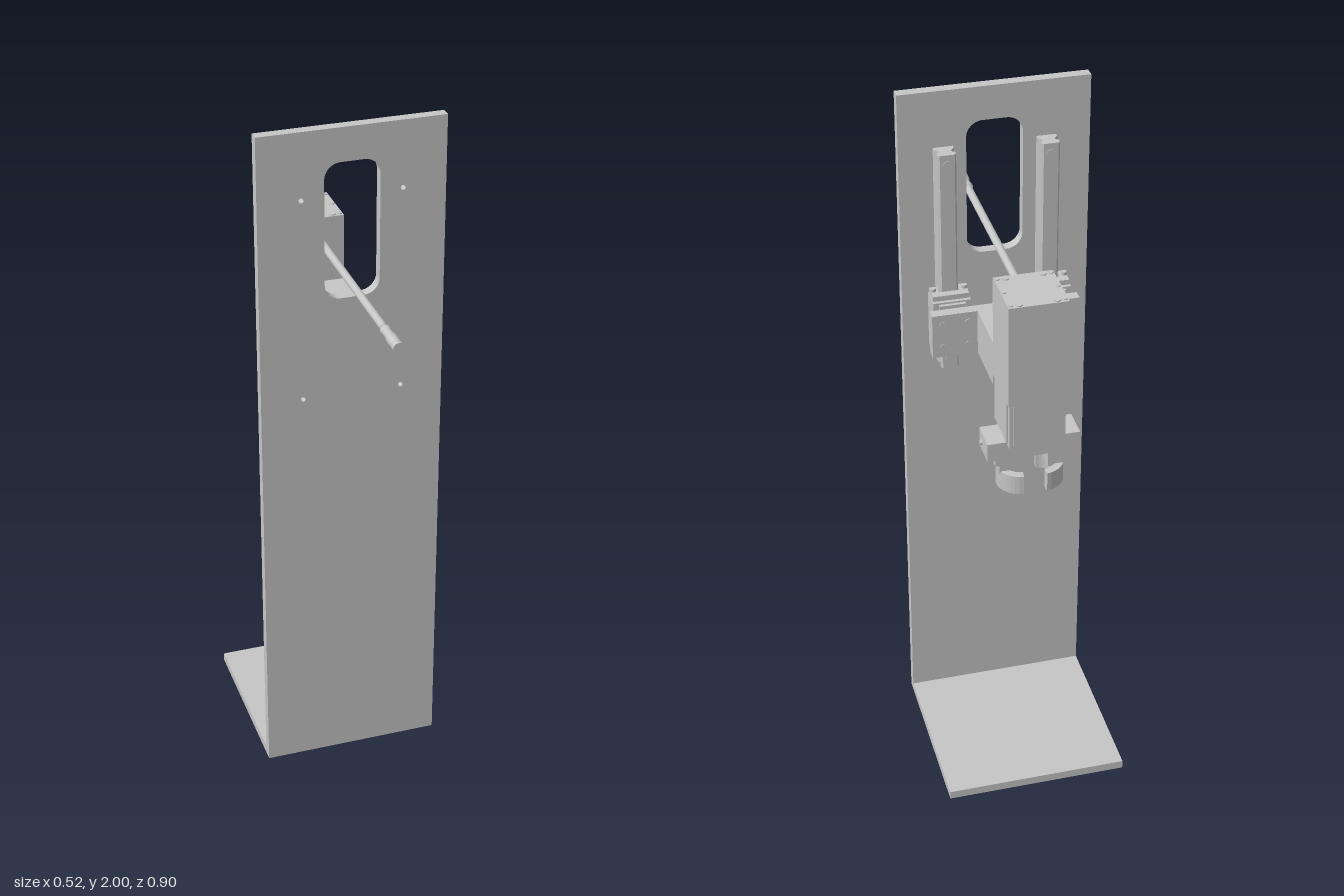
import * as THREE from 'three';

const metal = new THREE.MeshStandardMaterial({ color: 0xc6c6c6 });
metal.name = 'light grey metal';

export function createModel() {
  const root = new THREE.Group();
  root.name = 'gripperStand';

  const add = (name, geo, parent = root) => {
    const m = new THREE.Mesh(geo, metal);
    m.name = name;
    parent.add(m);
    return m;
  };
  // box given by its limits
  const box = (name, x0, x1, y0, y1, z0, z1, parent) => {
    const g = new THREE.BoxGeometry(x1 - x0, y1 - y0, z1 - z0);
    g.translate((x0 + x1) / 2, (y0 + y1) / 2, (z0 + z1) / 2);
    return add(name, g, parent);
  };
  // plan outline of [x, z] points, extruded from y0 to y1
  const prism = (name, pts, y0, y1, parent) => {
    const s = new THREE.Shape(pts.map(([x, z]) => new THREE.Vector2(x, -z)));
    const g = new THREE.ExtrudeGeometry(s, { depth: y1 - y0, bevelEnabled: false });
    g.rotateX(-Math.PI / 2).translate(0, y0, 0);
    return add(name, g, parent);
  };
  // cylinder along a chosen axis
  const rod = (name, r, len, axis, x, y, z, parent, sides = 20) => {
    const g = new THREE.CylinderGeometry(r, r, len, sides);
    if (axis === 'z') g.rotateX(Math.PI / 2);
    if (axis === 'x') g.rotateZ(Math.PI / 2);
    g.translate(x, y, z);
    return add(name, g, parent);
  };

  // upright plate with window and rail bolt holes
  const plate = new THREE.Shape();
  plate.moveTo(-0.26, 0).lineTo(0.26, 0).lineTo(0.26, 2).lineTo(-0.26, 2).closePath();
  const win = new THREE.Path();
  const wx = 0.077, wb = 1.512, wt = 1.904, r = 0.045;
  win.moveTo(wx, wb + r);
  win.absarc(wx - r, wt - r, r, 0, Math.PI / 2);
  win.absarc(-wx + r, wt - r, r, Math.PI / 2, Math.PI);
  win.absarc(-wx + r, wb + r, r, Math.PI, Math.PI * 1.5);
  win.absarc(wx - r, wb + r, r, Math.PI * 1.5, Math.PI * 2);
  plate.holes.push(win);
  for (const x of [-0.14, 0.14]) for (const y of [1.22, 1.81]) {
    plate.holes.push(new THREE.Path().absarc(x, y, 0.007, 0, Math.PI * 2));
  }
  add('uprightPlate', new THREE.ExtrudeGeometry(plate, { depth: 0.03, bevelEnabled: false, curveSegments: 12 }))
    .position.z = 0.04;
  box('basePlate', -0.26, 0.26, 0, 0.025, -0.45, 0.04);

  // rails with sliding carriages, one each side
  for (const side of [-1, 1]) {
    const g = new THREE.Group();
    g.name = side > 0 ? 'leftSlide' : 'rightSlide';
    g.position.x = side * 0.14;
    root.add(g);
    prism('rail', [[-0.027, 0.04], [-0.027, 0.028], [-0.017, 0.016], [-0.017, 0.01], [-0.025, 0.004], [-0.025, -0.006],
      [-0.02, -0.011], [0.02, -0.011], [0.025, -0.006], [0.025, 0.004], [0.017, 0.01], [0.017, 0.016],
      [0.027, 0.028], [0.027, 0.04]], 1.19, 1.84, g);
    for (const y of [1.22, 1.81]) rod('railBolt', 0.013, 0.004, 'z', 0, y, -0.011, g);
    const cShape = (w, f, b) => [[-w, f], [-w, b], [w, b], [w, f], [0.029, f], [0.029, -0.013], [-0.029, -0.013], [-0.029, f]];
    prism('carriage', cShape(0.052, 0.02, -0.045), 1.26, 1.42, g);
    box('carriagePad', -0.036, 0.036, 1.265, 1.415, -0.055, -0.045, g);
    for (const [y0, y1, ys] of [[1.243, 1.26, 1.24], [1.42, 1.435, 1.438]]) {
      prism('carriageEndCap', cShape(0.05, 0.018, -0.035), y0, y1, g);
      for (const x of [-0.043, 0.043]) rod('endCapScrew', 0.008, 0.012, 'y', x, ys, -0.003, g);
    }
    // bracket bolts, nearly flush
    for (const x of [-0.035, 0.035]) for (const y of [1.305, 1.375]) rod('bracketBolt', 0.01, 0.006, 'z', x, y, -0.084, g);
  }

  // T bracket carrying the gripper
  box('bracketCrossPlate', -0.205, 0.205, 1.275, 1.405, -0.085, -0.055);
  box('bracketArm', -0.08, 0.08, 1.275, 1.405, -0.25, -0.085);

  // gripper housing
  box('housing', -0.08, 0.08, 1.305, 1.601, -0.412, -0.25);
  box('housingLower', -0.076, 0.076, 1.17, 1.305, -0.407, -0.255);
  box('rearCover', -0.065, 0.065, 1.18, 1.305, -0.412, -0.407);
  for (const s of [-1, 1]) {
    box('sideCover', s * 0.078 - 0.002, s * 0.078 + 0.002, 1.18, 1.305, -0.395, -0.267);
    rod('sideScrew', 0.008, 0.004, 'x', s * 0.079, 1.34, -0.262);
    for (const z of [-0.399, -0.263]) {
      rod('housingBolt', 0.01, 0.006, 'y', s * 0.05, 1.601, z);
      rod('cornerPin', 0.006, 0.006, 'y', s * 0.072, 1.601, z);
    }
    rod('capPin', 0.006, 0.006, 'y', s * 0.072, 1.601, -0.331);
  }

  // jaw guide bar, carriers and curved fingers
  box('jawGuide', -0.127, 0.127, 1.115, 1.17, -0.375, -0.287);
  for (const s of [-1, 1]) {
    const jaw = new THREE.Group();
    jaw.name = s > 0 ? 'leftJaw' : 'rightJaw';
    jaw.position.z = -0.331;
    jaw.rotation.y = s > 0 ? 0 : Math.PI;
    root.add(jaw);
    for (const z of [-0.033, 0.033]) box('jawFoot', 0.04, 0.105, 1.095, 1.115, z - 0.009, z + 0.009, jaw);
    box('jawNeck', 0.045, 0.09, 1.06, 1.115, -0.026, 0.026, jaw);
    rod('jawScrew', 0.007, 0.01, 'x', 0.128, 1.14, 0.016, jaw);
    // half-round shell, convex outwards
    const arc = [];
    for (const [radius, dir] of [[0.066, 1], [0.044, -1]]) {
      for (let i = -8; i <= 8; i++) {
        const t = dir * i * 0.185;
        arc.push([0.026 + Math.cos(t) * radius, Math.sin(t) * radius]);
      }
    }
    prism('finger', arc, 1.01, 1.066, jaw);
  }

  // cable with ribbed strain relief and plug
  const cy = 1.548;
  rod('cable', 0.011, 0.6, 'z', 0, cy, 0.05);
  for (let i = 0; i < 5; i++) rod('strainReliefRib', 0.021 - i * 0.0015, 0.007, 'z', 0, cy, -0.246 + i * 0.0105);
  rod('strainReliefCore', 0.013, 0.055, 'z', 0, cy, -0.225);
  const profile = [[0, 0.335], [0.013, 0.335], [0.015, 0.345], [0.013, 0.36], [0.013, 0.38], [0.016, 0.39],
    [0.016, 0.418], [0.012, 0.422], [0.012, 0.428], [0, 0.428]].map(([x, y]) => new THREE.Vector2(x, y));
  const plug = add('plugBody', new THREE.LatheGeometry(profile, 20).rotateX(Math.PI / 2));
  plug.position.y = cy;
  rod('plugNut', 0.016, 0.024, 'z', 0, cy, 0.438, root, 12);

  return root;
}
